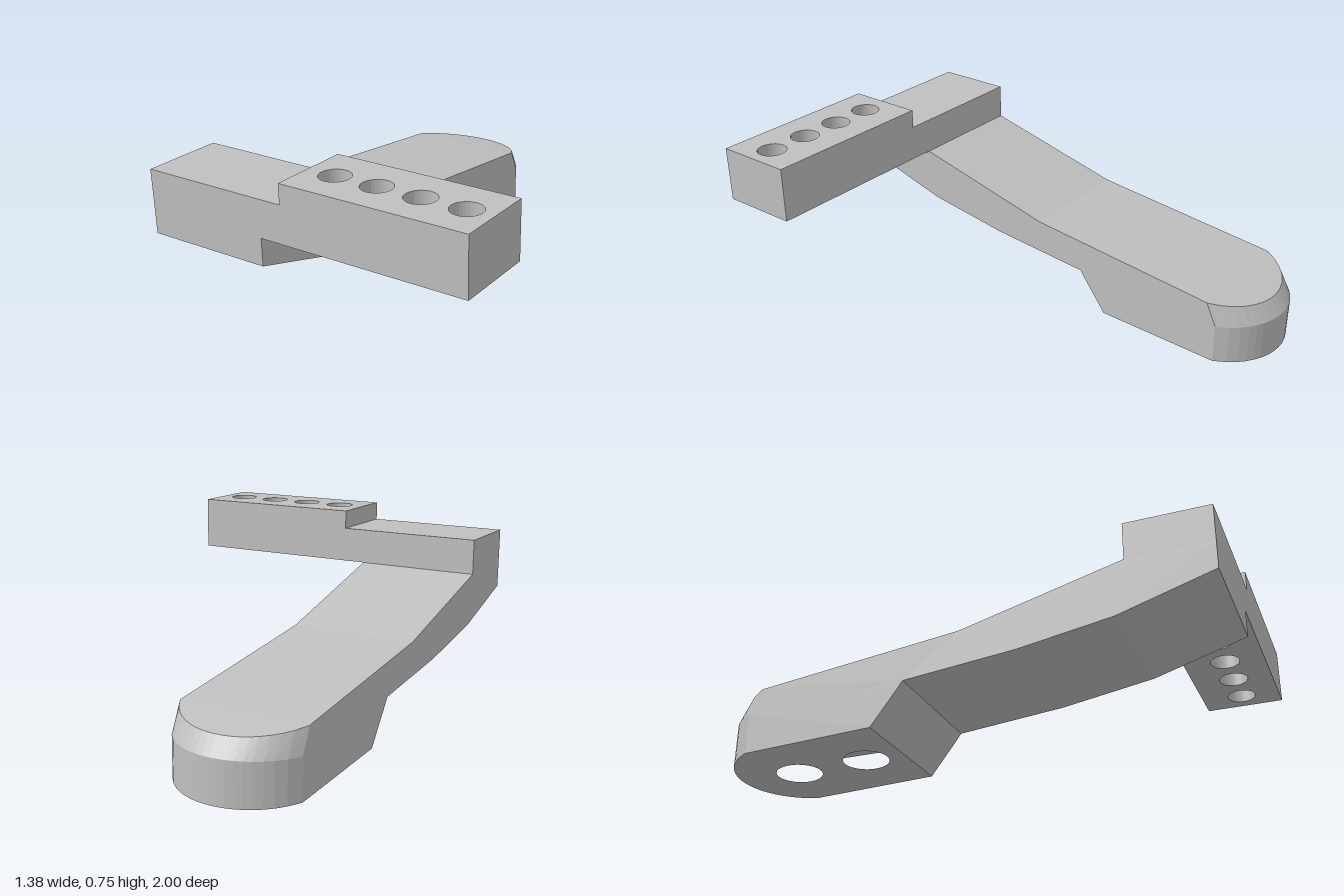
import * as THREE from 'three';

const X0 = -0.69, X1 = -0.165, XC = (X0 + X1) / 2; // arm width
const R = 0.29, STEPS = 18;                        // rounded rear end

// How far the rear arc falls forward of its tip at a given x
const arcShift = (x) => R - Math.sqrt(R * R - (x - XC) ** 2);
const near = (a, b) => Math.abs(a - b) < 1e-4;

// Extrude a plan outline of [x, z] points upwards, with round holes
function extrudePlan(points, holes, radius, y, height) {
  const shape = new THREE.Shape(points.map(([x, z]) => new THREE.Vector2(x, -z)));
  for (const [x, z] of holes) {
    shape.holes.push(new THREE.Path().absarc(x, -z, radius, 0, Math.PI * 2, true));
  }
  return new THREE.ExtrudeGeometry(shape, { depth: height, bevelEnabled: false, curveSegments: 16 })
    .rotateX(-Math.PI / 2).translate(0, y, 0);
}

// Move every vertex by a rule, then refresh the facet normals
function reshape(geometry, rule) {
  const p = geometry.attributes.position, v = new THREE.Vector3();
  for (let i = 0; i < p.count; i++) {
    rule(v.fromBufferAttribute(p, i));
    p.setXYZ(i, v.x, v.y, v.z);
  }
  geometry.computeVertexNormals();
  return geometry;
}

// Bent arm: side profile [z, y] swept across x, its rear end curved and chamfered
function armGeometry() {
  const profile = [
    [1, 0.41], [1, 0.52], [0.67, 0.52], [0.04, 0.36], [-0.775, 0.268], [-0.955, 0.237], [-1, 0.17],
    [-0.199, 0.17], [-0.18, 0.197], [0.26, 0.24], [0.63, 0.3],
  ];
  const shape = new THREE.Shape(profile.map(([z, y]) => new THREE.Vector2(-z, y)));
  const geometry = new THREE.ExtrudeGeometry(shape, { depth: X1 - X0, steps: STEPS, bevelEnabled: false })
    .rotateY(Math.PI / 2).translate(X0, 0, 0);
  return reshape(geometry, (v) => {
    const shift = arcShift(v.x);
    if (near(v.z, -0.955)) {
      v.z += shift;
      v.y += shift * 0.172; // stay on the sloping top
    } else if (near(v.z, -1)) v.z += shift;
  });
}

// Foot: round-ended pad with two blind holes, slanted front and slightly sloping sole
function footGeometry() {
  const outline = [[X1, -0.305], [X0, -0.305]];
  for (let i = 0; i <= STEPS; i++) {
    const x = X0 + (X1 - X0) * i / STEPS;
    outline.push([x, -1 + arcShift(x)]);
  }
  const geometry = extrudePlan(outline, [[XC, -0.46], [XC, -0.755]], 0.09, 0, 0.17);
  return reshape(geometry, (v) => {
    if (v.y < 0.01) v.y = 0.03 * (v.z + 1) / 0.695;
    else if (near(v.z, -0.305)) v.z = -0.199;
  });
}

export function createModel() {
  const grey = new THREE.MeshStandardMaterial({ color: 0xbfbfbf });
  grey.name = 'light grey';
  const group = new THREE.Group();
  group.name = 'pedalLever';
  const add = (name, geometry) => {
    const mesh = new THREE.Mesh(geometry, grey);
    mesh.name = name;
    group.add(mesh);
  };

  add('arm', armGeometry());
  add('foot', footGeometry());

  // Cross bar: plain low block, then the taller block with four through holes
  add('crossBar', new THREE.BoxGeometry(0.62, 0.15, 0.33).translate(-0.38, 0.595, 0.835));
  const holes = [0, 1, 2, 3].map((i) => [0.05 + i * 0.178, 0.84]);
  add('mountingBlock', extrudePlan(
    [[-0.07, 1], [0.69, 1], [0.69, 0.67], [-0.07, 0.67]], holes, 0.06, 0.52, 0.23));

  return group;
}
